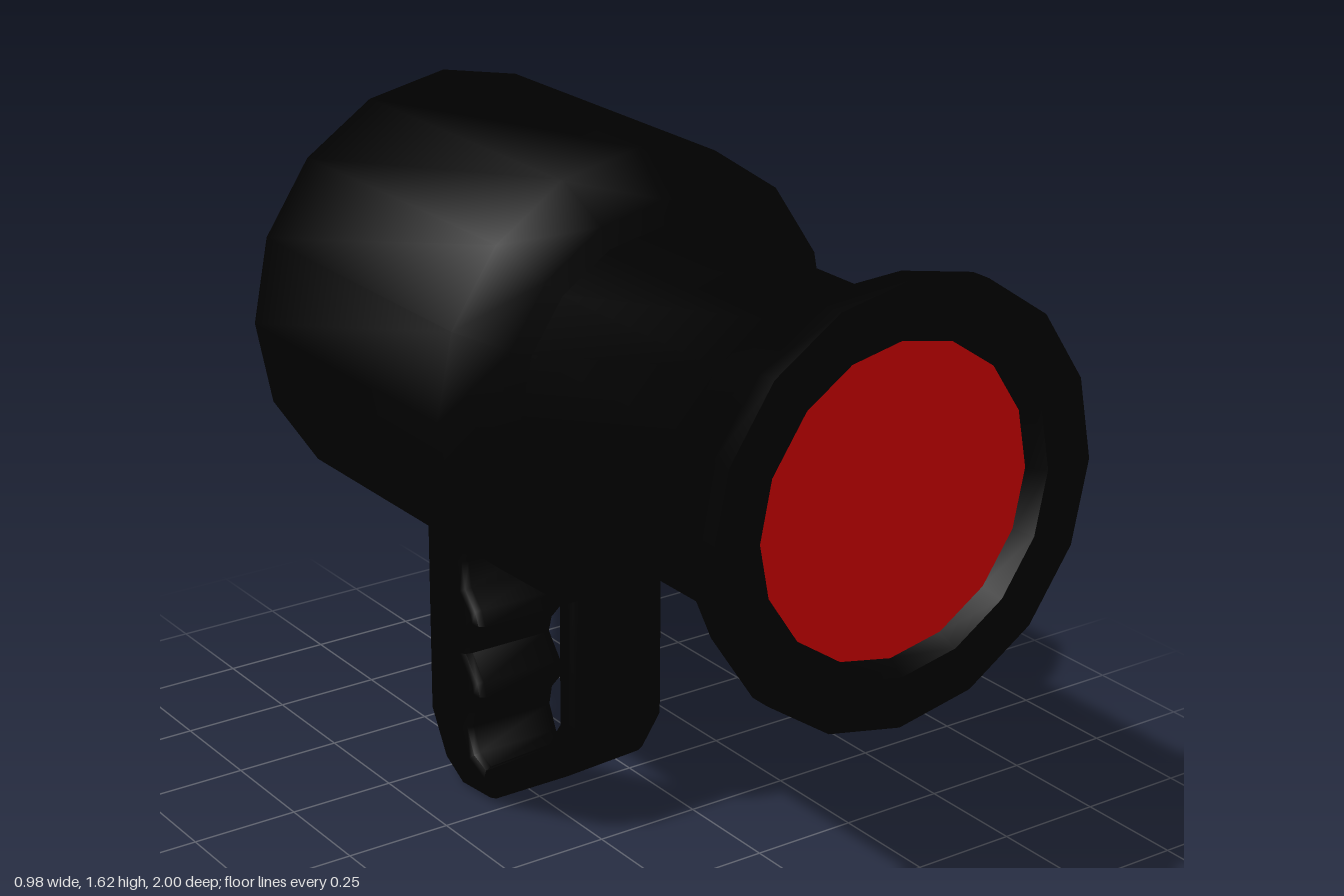
import * as THREE from 'three';
import { toCreasedNormals } from 'three/addons/utils/BufferGeometryUtils.js';

const AXIS_Y = 1.133;
const SIDES = 16;
const black = new THREE.MeshStandardMaterial({ color: 0x000000 });
const red = new THREE.MeshStandardMaterial({ color: 0xcc0000 });

function addMesh(parent, name, geometry, material) {
  const mesh = new THREE.Mesh(geometry, material);
  mesh.name = name;
  parent.add(mesh);
  return mesh;
}

// Profile of [radius, z] pairs, listed from rear to front, turned about the z axis
function turned(profile) {
  const geo = new THREE.LatheGeometry(profile.map(([r, z]) => new THREE.Vector2(r, z)), SIDES);
  return geo.rotateX(Math.PI / 2);
}

// Chamfers shade softly, square edges stay sharp
const crease = (geo) => toCreasedNormals(geo, 0.9);
const toPoints = (list) => list.map(([x, y]) => new THREE.Vector2(x, y));

export function createModel() {
  const model = new THREE.Group();
  const tube = new THREE.Group();
  tube.name = 'tube';
  tube.position.y = AXIS_Y;
  model.add(tube);

  // Main housing: chamfered drum with a flattened underside
  const housing = turned([[0, -0.695], [0.4, -0.695], [0.488, -0.608], [0.488, 0.135], [0.4, 0.22], [0, 0.22]]);
  const pos = housing.attributes.position;
  for (let i = 0; i < pos.count; i++) {
    const x = pos.getX(i), y = pos.getY(i);
    if (y < 0 && Math.abs(x) < 0.2 && Math.hypot(x, y) > 0.45) pos.setY(i, -0.466);
  }
  addMesh(tube, 'housing', crease(housing), black);

  // Front barrel with flared mouth and recessed lens seat
  addMesh(tube, 'frontBarrel', crease(turned([
    [0.346, 0.2], [0.346, 0.73], [0.45, 0.955], [0.45, 1], [0.345, 1], [0.318, 0.965],
  ])), black);
  const frontLens = addMesh(tube, 'frontLens', new THREE.CircleGeometry(0.318, SIDES), red);
  frontLens.position.z = 0.965;

  // Tapered rear cone with small recessed lens
  addMesh(tube, 'rearCone', crease(turned([
    [0.132, -0.975], [0.15, -1], [0.185, -1], [0.346, -0.695], [0.346, -0.68],
  ])), black);
  const rearLens = addMesh(tube, 'rearLens', new THREE.CircleGeometry(0.132, SIDES), red);
  rearLens.position.z = -0.975;
  rearLens.rotation.y = Math.PI;

  // Grip with guard, outlined anticlockwise in (z, y); the hole carries the finger grooves
  const outline = new THREE.Shape(toPoints([
    [-0.533, 0.72], [-0.533, 0.145], [-0.473, 0.04], [-0.4, 0], [-0.28, 0.01],
    [0, 0.193], [0.067, 0.305], [0.067, 0.72],
  ]));
  outline.holes.push(new THREE.Path(toPoints([
    [0, 0.6], [0, 0.318], [-0.05, 0.245], [-0.3, 0.083], [-0.345, 0.1], [-0.37, 0.155],
    [-0.36, 0.2], [-0.315, 0.25], [-0.325, 0.285], [-0.37, 0.34], [-0.36, 0.375],
    [-0.315, 0.425], [-0.33, 0.46], [-0.37, 0.5], [-0.382, 0.56], [-0.375, 0.59], [-0.355, 0.6],
  ])));
  const bevel = 0.02, width = 0.236;
  const grip = new THREE.ExtrudeGeometry(outline, {
    depth: width - 2 * bevel, bevelEnabled: true, bevelThickness: bevel,
    bevelSize: bevel, bevelOffset: -bevel, bevelSegments: 2,
  });
  grip.translate(0, 0, bevel - width / 2).rotateY(-Math.PI / 2);
  addMesh(model, 'grip', crease(grip), black);

  return model;
}
